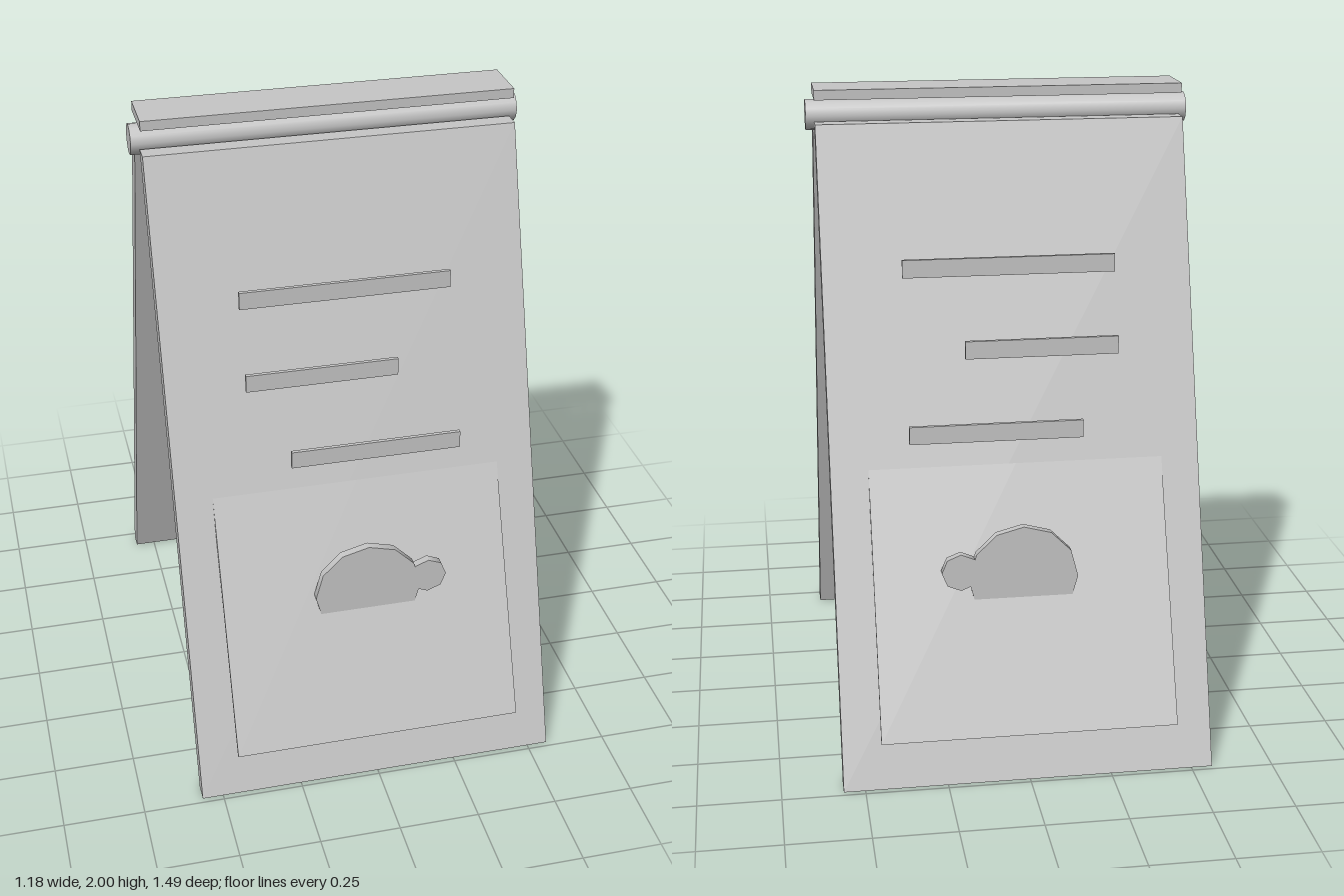
import * as THREE from 'three';

export function createModel() {
  const grey = new THREE.MeshStandardMaterial({ color: 0xc6c6c6 });
  grey.name = 'plain grey';
  const root = new THREE.Group();
  root.name = 'sandwichBoard';

  function add(name, geometry, parent, x = 0, y = 0, z = 0) {
    const mesh = new THREE.Mesh(geometry, grey);
    mesh.name = name;
    mesh.position.set(x, y, z);
    parent.add(mesh);
  }

  // Extrudes a side outline of [z, y] points across x, centred on x = 0
  function sideProfile(points, width) {
    const shape = new THREE.Shape(points.map(([z, y]) => new THREE.Vector2(-z, y)));
    return new THREE.ExtrudeGeometry(shape, { depth: width, bevelEnabled: false })
      .translate(0, 0, -width / 2)
      .rotateY(Math.PI / 2);
  }

  // Upright disc with a vertex at the top, facing z
  const disc = (radius, sides) =>
    new THREE.CylinderGeometry(radius, radius, 0.026, sides).rotateX(Math.PI / 2);

  // Text bars: left x, right x, centre y, centre z
  const bars = [
    [-0.325, 0.325, 1.488, 0.274],
    [-0.325, 0.145, 1.25, 0.352],
    [-0.205, 0.325, 1.013, 0.431],
  ];

  // Two leaning boards, mirrored front to back
  for (const [side, s] of [['front', 1], ['back', -1]]) {
    const board = new THREE.Group();
    board.name = side + 'Board';
    root.add(board);

    const panel = [[0.733, 0], [0.105, 1.9], [0.05, 1.9], [0.677, 0]];
    add(side + 'Panel', sideProfile(panel.map(([z, y]) => [z * s, y]), 1.13), board);

    // Thin sheet tilted through the panel
    const sheet = [[0.745, 0.156], [0.117, 1.67], [0.108, 1.666], [0.736, 0.152]];
    add(side + 'Sheet', sideProfile(sheet.map(([z, y]) => [z * s, y]), 0.9), board);

    bars.forEach(([x0, x1, y, z], i) =>
      add(side + 'Bar' + (i + 1), new THREE.BoxGeometry(x1 - x0, 0.055, 0.012),
        board, (x0 + x1) / 2, y, z * s));

    // Round emblem with a smaller disc beside it
    add(side + 'EmblemBody', disc(0.166, 12), board, 0, 0.597, s * 0.574);
    add(side + 'EmblemHead', disc(0.058, 8), board, 0.19, 0.626, s * 0.574);
  }

  // Hinge rod and top cap
  add('hingeRod', new THREE.CylinderGeometry(0.047, 0.047, 1.18, 12).rotateZ(Math.PI / 2),
    root, 0, 1.915, 0);
  add('topCap', new THREE.BoxGeometry(1.13, 0.03, 0.166), root, 0, 1.985, 0);

  return root;
}
